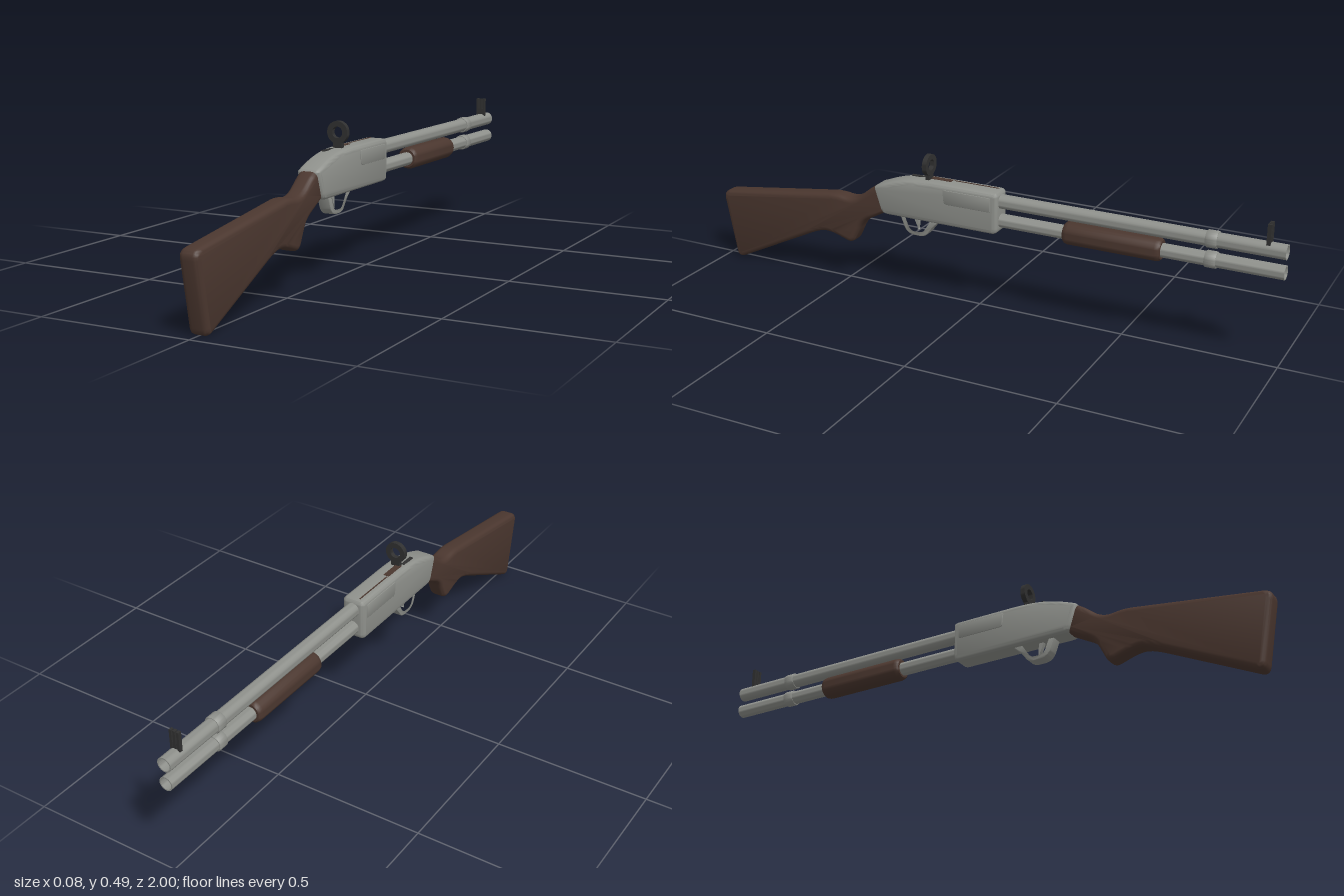
import * as THREE from 'three';
import { toCreasedNormals } from 'three/addons/utils/BufferGeometryUtils.js';

const mat = (name, color) => new THREE.MeshStandardMaterial({ name, color });

// Trace [z, y, cornerRadius] points into a closed path with softened corners
function trace(path, pts) {
  const n = pts.length;
  pts.forEach(([z, y, r], i) => {
    const p = new THREE.Vector2(z, y);
    const toward = (q) => {
      const d = new THREE.Vector2(q[0], q[1]).sub(p);
      return p.clone().addScaledVector(d.clone().normalize(), Math.min(r, d.length() * 0.48));
    };
    const a = toward(pts[(i + n - 1) % n]);
    const b = toward(pts[(i + 1) % n]);
    if (i === 0) path.moveTo(a.x, a.y);
    else path.lineTo(a.x, a.y);
    path.quadraticCurveTo(z, y, b.x, b.y);
  });
  path.closePath();
  return path;
}

// Side profile extruded across x, centred, with rounded edges inside the outline
function sideExtrude(pts, width, bevel, holePts) {
  const shape = trace(new THREE.Shape(), pts);
  if (holePts) shape.holes.push(trace(new THREE.Path(), holePts));
  const depth = width - 2 * bevel;
  const geo = new THREE.ExtrudeGeometry(shape, {
    depth, curveSegments: 5, bevelEnabled: bevel > 0,
    bevelSize: bevel, bevelThickness: bevel, bevelOffset: -bevel, bevelSegments: 4,
  });
  geo.translate(0, 0, -depth / 2);
  geo.rotateY(-Math.PI / 2);
  return toCreasedNormals(geo, 0.7);
}

// Lathe of [radius, distance] points running toward -z
function latheZ(pts, segments = 24) {
  const geo = new THREE.LatheGeometry(pts.map(([r, d]) => new THREE.Vector2(r, d)), segments);
  geo.rotateX(-Math.PI / 2);
  return toCreasedNormals(geo, 0.7);
}

export function createModel() {
  const group = new THREE.Group();
  const steel = mat('steel grey', 0x8f918c);
  const wood = mat('dark wood', 0x4b372f);
  const black = mat('sight black', 0x303030);

  const add = (name, geo, material, x = 0, y = 0, z = 0) => {
    const mesh = new THREE.Mesh(geo, material);
    mesh.name = name;
    mesh.position.set(x, y, z);
    group.add(mesh);
    return mesh;
  };

  // Shoulder stock with grip
  add('stock', sideExtrude([
    [1.004, 0.243, 0.03], [0.957, -0.007, 0.03], [0.6, 0.165, 0.05], [0.555, 0.165, 0.03],
    [0.472, 0.137, 0.025], [0.43, 0.225, 0.03], [0.33, 0.28, 0.01], [0.345, 0.375, 0.01],
    [0.385, 0.358, 0.02], [0.46, 0.298, 0.04], [0.53, 0.309, 0.03],
  ], 0.064, 0.017), wood);

  // Receiver body
  add('receiver', sideExtrude([
    [0.378, 0.364, 0.012], [0.348, 0.272, 0.02], [-0.077, 0.272, 0.02],
    [-0.077, 0.412, 0.015], [0.2, 0.412, 0.07], [0.29, 0.398, 0.05],
  ], 0.08, 0.015), steel);

  // Side panels on both faces
  const panel = sideExtrude([
    [0.115, 0.396, 0.005], [0.11, 0.348, 0.01], [-0.055, 0.348, 0.005], [-0.055, 0.396, 0.005],
  ], 0.004, 0.001);
  for (const s of [-1, 1]) add('sidePanel', panel, steel, s * 0.04, 0, 0);

  // Thin inlays along the receiver top
  add('topSlot', new THREE.BoxGeometry(0.004, 0.003, 0.16), wood, -0.016, 0.412, 0.02);
  add('topInlay', new THREE.BoxGeometry(0.02, 0.003, 0.08), wood, -0.01, 0.412, 0.145);
  add('topMark', new THREE.BoxGeometry(0.012, 0.003, 0.06), black, -0.015, 0.4085, 0.225);

  // Barrel and magazine tube, each hollow with a collar
  for (const [name, y, r] of [['barrel', 0.377, 0.0235], ['magazineTube', 0.312, 0.0225]]) {
    add(name, latheZ([[r, 0], [r, 0.95], [r - 0.004, 0.95], [r - 0.004, 0.7], [0, 0.7]]),
      steel, 0, y, -0.05);
    const c = r + 0.004;
    add(name + 'Collar', latheZ([
      [r, 0], [c - 0.002, 0], [c, 0.003], [c, 0.033], [c - 0.002, 0.036], [r, 0.036],
    ]), steel, 0, y, -0.757);
  }

  // Sliding fore-end
  add('foreEnd', latheZ([
    [0.02, 0], [0.03, 0], [0.035, 0.005], [0.0375, 0.016],
    [0.0375, 0.304], [0.035, 0.315], [0.03, 0.32], [0.02, 0.32],
  ]), wood, 0, 0.313, -0.3);

  // Trigger guard and trigger
  add('triggerGuard', sideExtrude([
    [0.29, 0.285, 0.01], [0.268, 0.226, 0.015], [0.248, 0.211, 0.015],
    [0.192, 0.211, 0.02], [0.17, 0.245, 0.02], [0.125, 0.285, 0.01],
  ], 0.04, 0.003, [
    [0.272, 0.276, 0.006], [0.254, 0.232, 0.01], [0.242, 0.222, 0.008],
    [0.2, 0.222, 0.015], [0.182, 0.25, 0.015], [0.165, 0.276, 0.006],
  ]), steel);
  add('trigger', sideExtrude([
    [0.245, 0.282, 0.003], [0.234, 0.25, 0.02], [0.222, 0.228, 0.002],
    [0.228, 0.228, 0.002], [0.222, 0.252, 0.02], [0.228, 0.282, 0.003],
  ], 0.014, 0), steel);

  // Rear ring sight on a short stem
  const ring = new THREE.Shape().absarc(0, 0, 0.0355, 0, Math.PI * 2);
  ring.holes.push(new THREE.Path().absarc(0, 0, 0.018, 0, Math.PI * 2));
  const ringGeo = new THREE.ExtrudeGeometry(ring, { depth: 0.016, bevelEnabled: false, curveSegments: 16 });
  add('rearSightRing', toCreasedNormals(ringGeo, 0.7), black, 0, 0.459, 0.176);
  add('rearSightStem', new THREE.BoxGeometry(0.03, 0.028, 0.014), black, 0, 0.417, 0.184);

  // Three-pronged front sight
  for (const x of [-0.0125, 0, 0.0125]) {
    add('frontSightProng', new THREE.BoxGeometry(0.008, 0.068, 0.012), black, x, 0.425, -0.945);
  }
  add('frontSightBase', new THREE.BoxGeometry(0.033, 0.03, 0.008), black, 0, 0.405, -0.945);

  return group;
}
